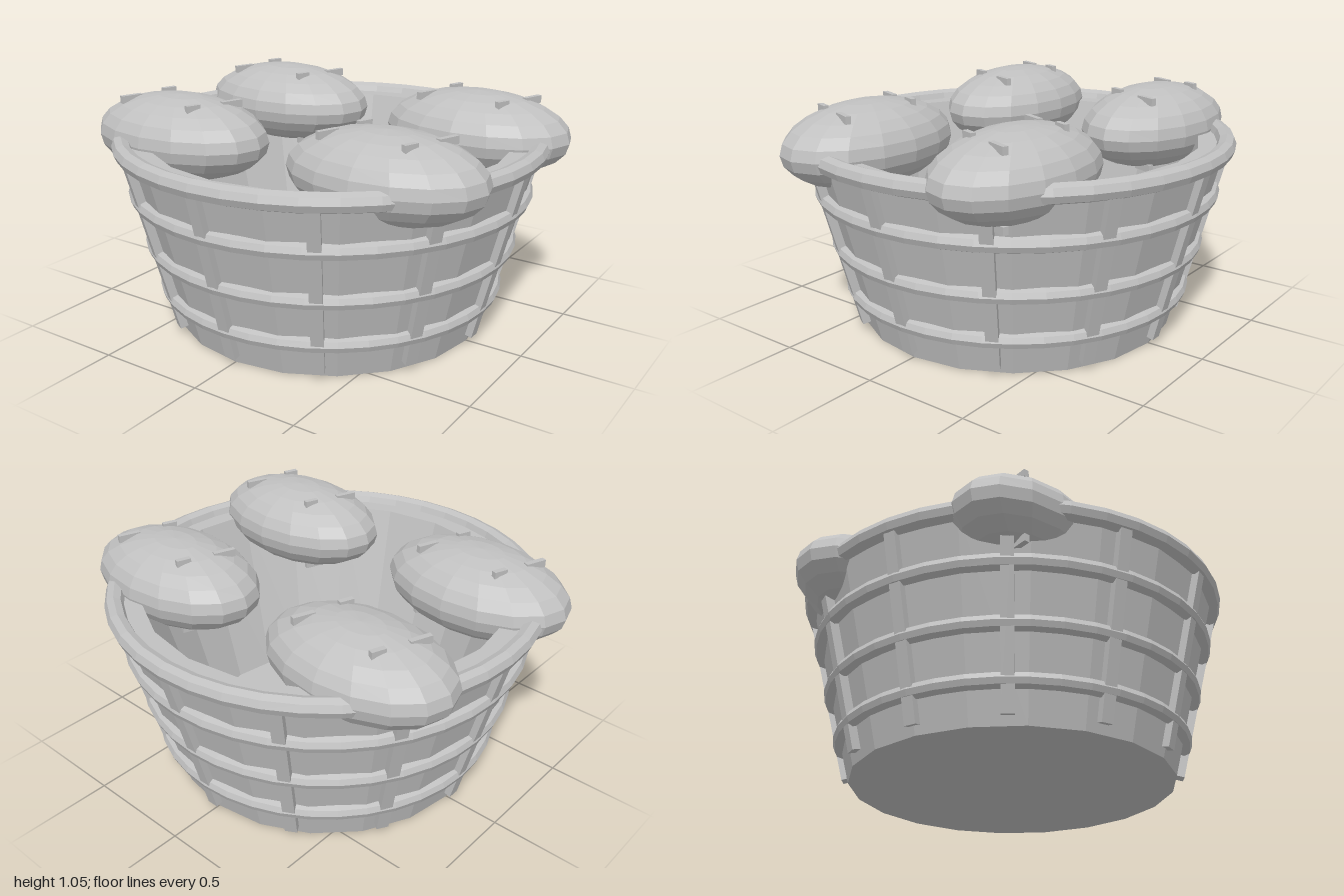
import * as THREE from 'three';

export function createModel() {
  const model = new THREE.Group();
  const grey = new THREE.MeshStandardMaterial({ color: 0xc0c0c0, flatShading: true });
  grey.name = 'plainGrey';

  const add = (parent, name, geometry) => {
    const mesh = new THREE.Mesh(geometry, grey);
    mesh.name = name;
    parent.add(mesh);
    return mesh;
  };
  const group = (name) => {
    const g = new THREE.Group();
    g.name = name;
    model.add(g);
    return g;
  };

  // Basket wall tapers outwards with height
  const H = 0.85, R0 = 0.735, R1 = 0.952;
  const wallRadius = (y) => R0 + (R1 - R0) * y / H;

  // Thick-walled tub: underside, outer wall, top ledge, inner wall, floor
  const profile = [[0, 0], [R0, 0], [R1, H], [0.835, H], [0.615, 0.06], [0, 0.06]]
    .map(([r, y]) => new THREE.Vector2(r, y));
  add(model, 'tub', new THREE.LatheGeometry(profile, 20));

  // Hoops around the wall and the heavier rim
  const hoops = group('hoops');
  for (const [name, y, tube] of [['lowerHoop', 0.17, 0.035], ['middleHoop', 0.39, 0.035],
    ['upperHoop', 0.63, 0.037], ['rim', 0.848, 0.043]]) {
    const hoop = add(hoops, name, new THREE.TorusGeometry(wallRadius(y), tube, 8, 40));
    hoop.rotation.x = -Math.PI / 2;
    hoop.position.y = y;
  }

  // Twelve leaning staves
  const staves = group('staves');
  const lean = Math.atan((R1 - R0) / H);
  const low = 0.04, high = 0.85, mid = (low + high) / 2;
  for (let i = 0; i < 12; i++) {
    const pivot = new THREE.Group();
    pivot.rotation.y = i * Math.PI / 6;
    const stave = add(pivot, 'stave', new THREE.BoxGeometry(0.055, (high - low) / Math.cos(lean), 0.055));
    stave.position.set(0, mid, wallRadius(mid));
    stave.rotation.x = lean;
    staves.add(pivot);
  }

  // Four potatoes, each with small sprouts above and below
  const A = 0.45, B = 0.19, C = 0.287;
  for (const sx of [-1, 1]) for (const sz of [-1, 1]) {
    const potato = group('potato');
    potato.position.set(sx * 0.542, 0.86, sz * 0.412);
    const body = add(potato, 'potatoBody', new THREE.SphereGeometry(1, 16, 12));
    body.scale.set(A, B, C);

    for (const [x, z, length] of [[-0.165, -0.1, 0.065], [0.225, -0.085, 0.1],
      [-0.225, 0.085, 0.1], [0.165, 0.105, 0.065]]) {
      for (const side of [1, -1]) {
        const y = side * B * Math.sqrt(1 - (x / A) ** 2 - (z / C) ** 2);
        const sprout = add(potato, 'sprout', new THREE.BoxGeometry(0.024, 0.034, length));
        sprout.position.set(x, y, z);
        sprout.rotation.y = -0.35;
      }
    }
  }

  return model;
}
